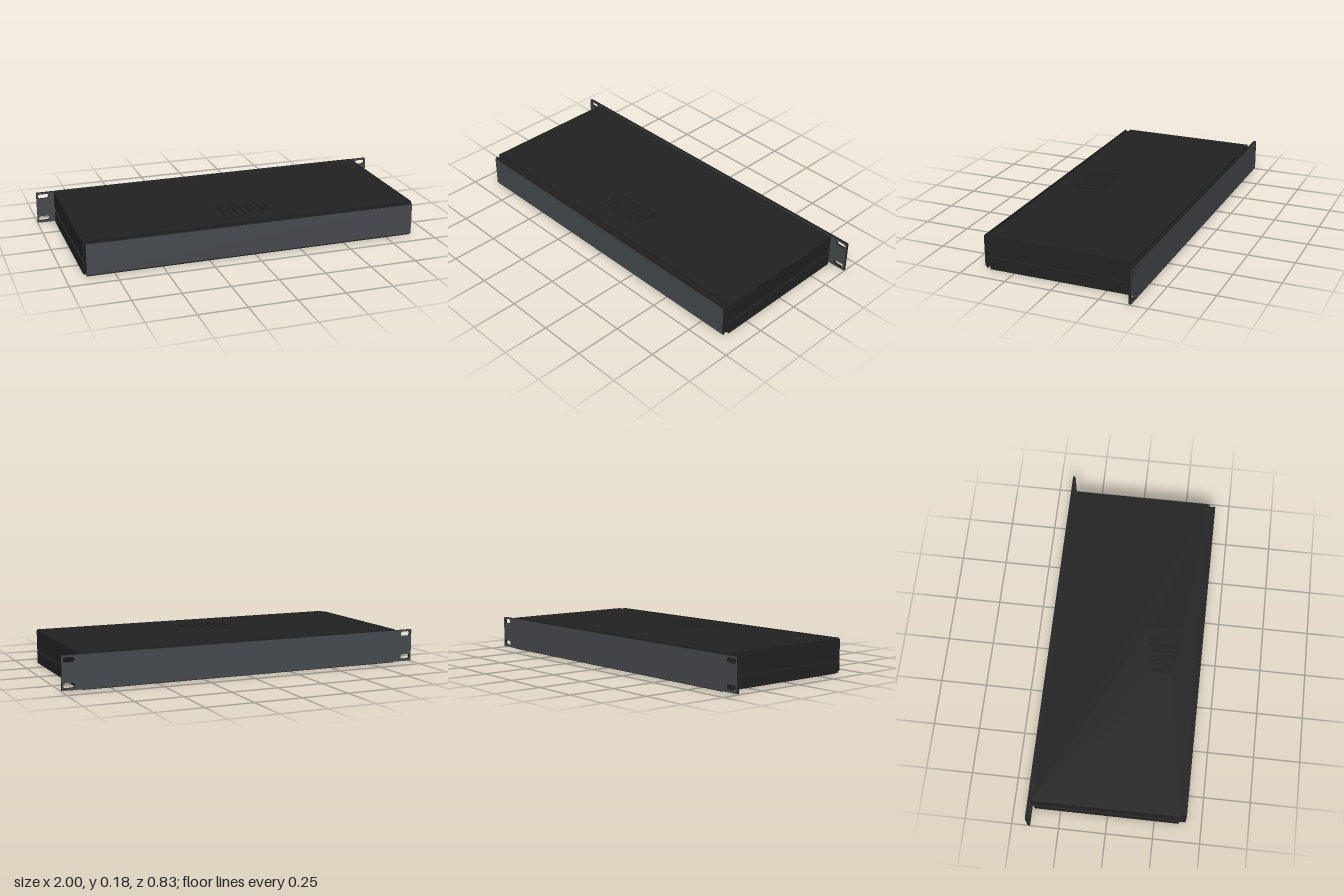
import * as THREE from 'three';

const black = new THREE.MeshStandardMaterial({ color: 0x222222 });
black.name = 'black casing';
const grey = new THREE.MeshStandardMaterial({ color: 0x474a4f });
grey.name = 'slate panel';

function rect(w, y0, y1) {
  const s = new THREE.Shape();
  s.moveTo(-w, y0);
  s.lineTo(w, y0);
  s.lineTo(w, y1);
  s.lineTo(-w, y1);
  s.closePath();
  return s;
}

// Round-ended slot, long in x or in y
function slot(x, y, length, width, upright = false) {
  const p = new THREE.Path(), r = width / 2, h = length / 2 - r;
  if (upright) {
    p.absarc(x, y + h, r, 0, Math.PI, false);
    p.absarc(x, y - h, r, Math.PI, Math.PI * 2, false);
  } else {
    p.absarc(x + h, y, r, -Math.PI / 2, Math.PI / 2, false);
    p.absarc(x - h, y, r, Math.PI / 2, Math.PI * 1.5, false);
  }
  p.closePath();
  return p;
}

const extrude = (shape, depth) =>
  new THREE.ExtrudeGeometry(shape, { depth, bevelEnabled: false, curveSegments: 8 });

export function createModel() {
  const model = new THREE.Group();
  model.name = 'rackEnclosure';

  const add = (name, geometry, material) => {
    const mesh = new THREE.Mesh(geometry, material);
    mesh.name = name;
    model.add(mesh);
    return mesh;
  };
  // Box given by its limits on each axis
  const box = (name, [x0, x1], [y0, y1], [z0, z1]) =>
    add(name, new THREE.BoxGeometry(x1 - x0, y1 - y0, z1 - z0), black)
      .position.set((x0 + x1) / 2, (y0 + y1) / 2, (z0 + z1) / 2);

  const back = -0.39, front = 0.38;

  // Lid with a row of ventilation slots, and the floor
  const lidShape = rect(0.892, -front, -back);
  for (let i = 0; i < 8; i++) lidShape.holes.push(slot((i - 3.5) * 0.036, -0.2, 0.15, 0.018, true));
  const lid = extrude(lidShape, 0.008);
  lid.rotateX(-Math.PI / 2);
  lid.translate(0, 0.175, 0);
  add('ventedLid', lid, black);
  box('floor', [-0.892, 0.892], [0.002, 0.01], [back, front]);

  for (const side of [-1, 1]) {
    const name = side > 0 ? 'left' : 'right';
    const span = (a, b) => (side > 0 ? [a, b] : [-b, -a]);
    // Side walls with a long groove between them
    box(name + 'UpperWall', span(0.892, 0.905), [0.088, 0.183], [back, front]);
    box(name + 'LowerWall', span(0.892, 0.905), [0.002, 0.065], [back, front]);
    box(name + 'GrooveWall', span(0.88, 0.892), [0.01, 0.175], [back, front]);
    // Inner rails reaching out to the end panels
    box(name + 'UpperRail', span(0.87, 0.896), [0.088, 0.174], [-0.403, 0.403]);
    box(name + 'LowerRail', span(0.87, 0.896), [0.012, 0.065], [-0.403, 0.403]);
  }

  // Lips and backing plates at both ends
  for (const [name, z0, z1, p0, p1] of [
    ['front', 0.36, 0.403, 0.402, 0.406],
    ['back', -0.403, -0.37, -0.406, -0.402],
  ]) {
    box(name + 'UpperLip', [-0.895, 0.895], [0.164, 0.1745], [z0, z1]);
    box(name + 'LowerLip', [-0.895, 0.895], [0.0105, 0.02], [z0, z1]);
    box(name + 'BackingPlate', [-0.895, 0.895], [0.001, 0.184], [p0, p1]);
  }

  // Plain front panel
  const frontPanel = extrude(rect(0.895, 0.011, 0.176), 0.01);
  frontPanel.translate(0, 0, 0.405);
  add('frontPanel', frontPanel, [grey, black]);

  // Wide rear panel with slotted mounting ears
  const rackShape = rect(1, 0.006, 0.18);
  for (const x of [-0.963, 0.963])
    for (const y of [0.03, 0.158]) rackShape.holes.push(slot(x, y, 0.06, 0.026));
  const rackPanel = extrude(rackShape, 0.014);
  rackPanel.translate(0, 0, -0.415);
  add('rackPanel', rackPanel, [grey, black]);

  return model;
}
